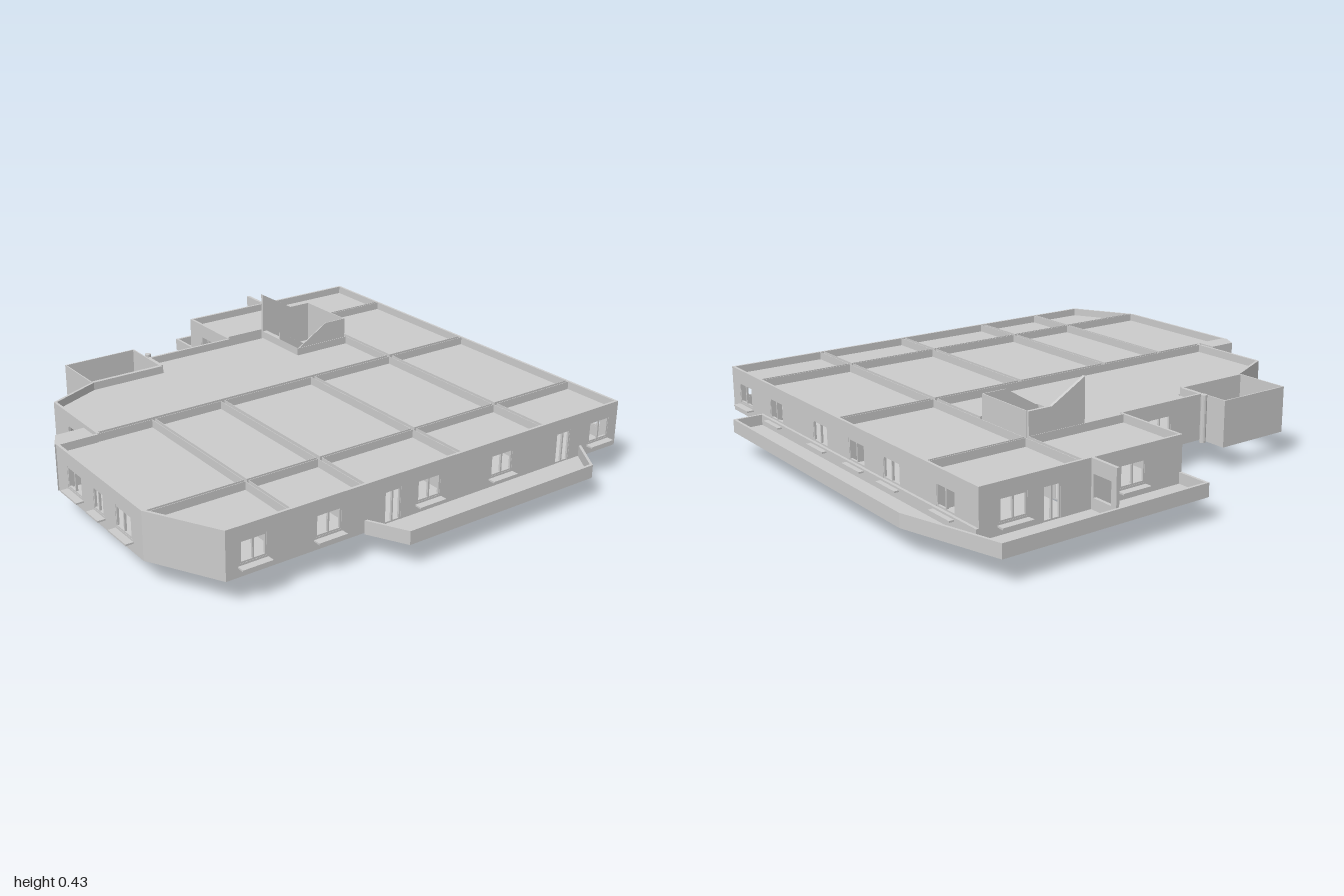
import * as THREE from 'three';
import { ConvexGeometry } from 'three/addons/geometries/ConvexGeometry.js';

const BASE = 0.095, TOP = 0.27, CEILING = 0.24, PARAPET = 0.14;
const mat = new THREE.MeshStandardMaterial({ color: 0xcccccc, flatShading: true, side: THREE.DoubleSide });

// Openings as [x, z, width, sill height]; doors reach the floor
const WINDOW = 0.14, DOOR = 0.1;
const windows = [
  ...[-0.675, -0.36, -0.135, 0.12, 0.46, 0.72].map(x => [x, -0.88, 0.105, WINDOW]),
  ...[[-0.785, 0.1], [-0.3, 0.1], [0.03, 0.1], [0.445, 0.1], [0.73, 0.1]].map(([z, w]) => [0.835, z, w, WINDOW]),
  ...[-0.6, 0.185].map(z => [0.835, z, 0.07, DOOR]),
  [0.12, 0.97, 0.105, WINDOW], [0.29, 0.97, 0.07, WINDOW], [0.46, 0.97, 0.105, WINDOW],
  [-0.19, 0.815, 0.105, WINDOW], [-0.71, -0.07, 0.105, WINDOW], [-0.55, 0.105, 0.105, WINDOW],
  [-0.85, -0.755, 0.105, WINDOW], [-0.85, -0.61, 0.07, DOOR], [-0.85, -0.285, 0.105, WINDOW],
];
const doors = [
  ...[-0.74, -0.17, 0.13, 0.77].map(x => [x, -0.492, 0.07, DOOR]),
  [0.28, 0.302, 0.07, DOOR],
  ...[-0.77, -0.37, 0.05, 0.37, 0.7].map(z => [0.59, z, 0.06, DOOR]),
  ...[-0.25, 0.17, 0.7].map(z => [-0.012, z, 0.07, DOOR]),
  [-0.42, -0.24, 0.24, DOOR],
];

// Exterior outline, going round so that each wall thickens inwards
const outline = [[-0.85, -0.88], [0.835, -0.88], [0.835, 0.83], [0.58, 0.97], [-0.01, 0.97], [-0.01, 0.815],
  [-0.35, 0.815], [-0.445, 0.61], [-0.445, 0.31], [-0.55, 0.31], [-0.55, -0.07], [-0.85, -0.07]];

const rect = (x0, x1, z0, z1) => [[x0, z0], [x1, z0], [x1, z1], [x0, z1]];
const rooms = [
  rect(-0.84, -0.57, -0.87, -0.5), rect(-0.56, -0.02, -0.87, -0.5),
  rect(-0.005, 0.583, -0.87, -0.5), rect(0.595, 0.825, -0.87, -0.5),
  rect(-0.84, -0.565, -0.485, -0.08),
  ...[[-0.485, -0.115], [-0.1, 0.295], [0.31, 0.587]].flatMap(([a, b]) =>
    [rect(-0.005, 0.585, a, b), rect(0.595, 0.825, a, b)]),
  rect(-0.005, 0.585, 0.598, 0.96),
  [[0.595, 0.598], [0.825, 0.598], [0.825, 0.825], [0.595, 0.953]],
  // hall, notched for the stairwell
  [[-0.29, -0.485], [-0.02, -0.485], [-0.02, 0.805], [-0.345, 0.805], [-0.435, 0.61], [-0.435, 0.3],
    [-0.54, 0.3], [-0.54, -0.24], [-0.29, -0.24]],
];

// Position of a point along segment a-b, and its distance from it
function project([x, z], a, b) {
  const dx = b[0] - a[0], dz = b[1] - a[1], len = Math.hypot(dx, dz);
  const along = ((x - a[0]) * dx + (z - a[1]) * dz) / len;
  const t = Math.min(len, Math.max(0, along));
  return { along, len, dist: Math.hypot(x - a[0] - dx * t / len, z - a[1] - dz * t / len) };
}

const edges = pts => pts.map((p, i) => [p, pts[(i + 1) % pts.length]]);
const shapeOf = pts => new THREE.Shape(pts.map(p => new THREE.Vector2(...p)));

function add(parent, name, geo, x = 0, y = 0, z = 0) {
  const mesh = new THREE.Mesh(geo, mat);
  mesh.name = name;
  mesh.position.set(x, y, z);
  parent.add(mesh);
  return mesh;
}
const box = (parent, name, w, h, d, x, y, z) => add(parent, name, new THREE.BoxGeometry(w, h, d), x, y, z);

// Horizontal slab whose top lies at height y
function slab(parent, name, pts, y, depth) {
  const geo = new THREE.ExtrudeGeometry(shapeOf(pts), { depth, bevelEnabled: false }).rotateX(Math.PI / 2);
  return add(parent, name, geo, 0, y, 0);
}

// Upright wall from a to b, cut by every opening lying on it
function wall(parent, name, a, b, { y0 = BASE, y1 = TOP, thick = 0.01, openings = [], fitted = false } = {}) {
  const group = new THREE.Group();
  const { len } = project(a, a, b);
  group.name = name;
  group.position.set(a[0], 0, a[1]);
  group.rotation.y = Math.atan2(a[1] - b[1], b[0] - a[0]);
  parent.add(group);
  const shape = shapeOf(rect(0, len, y0, y1));
  for (const [x, z, w, sill] of openings) {
    const p = project([x, z], a, b);
    const l = p.along - w / 2, r = p.along + w / 2, head = 0.22;
    if (p.dist > 0.025 || l < 0.002 || r > len - 0.002) continue;
    shape.holes.push(new THREE.Path(rect(l, r, sill, head).map(q => new THREE.Vector2(...q))));
    if (!fitted) continue;
    // frame, mullion and projecting sill
    for (const s of [l + 0.003, p.along, r - 0.003])
      box(group, 'windowPost', 0.006, head - sill, 0.008, s, (head + sill) / 2, thick / 2);
    for (const y of [sill + 0.003, head - 0.003])
      box(group, 'windowRail', w, 0.006, 0.008, p.along, y, thick / 2);
    if (sill === WINDOW) box(group, 'windowSill', w + 0.012, 0.006, 0.034, p.along, 0.13, -0.011);
  }
  add(group, name + 'Panel', new THREE.ExtrudeGeometry(shape, { depth: thick, bevelEnabled: false }));
  return group;
}

// Panel standing in the y-z plane, from [z, y] points
function sidePanel(parent, name, pts, x, thick) {
  const shape = shapeOf(pts.map(([z, y]) => [-z, y]));
  const geo = new THREE.ExtrudeGeometry(shape, { depth: thick, bevelEnabled: false }).rotateY(Math.PI / 2);
  return add(parent, name, geo, x, 0, 0);
}

function balcony(parent, name, pts) {
  const group = new THREE.Group();
  group.name = name;
  parent.add(group);
  slab(group, 'balconyFloor', pts, 0.1, 0.01);
  for (let i = 0; i < pts.length - 1; i++)
    wall(group, 'balconyParapet', pts[i], pts[i + 1], { y0: 0.09, y1: PARAPET });
  return group;
}

function stairs(parent) {
  const group = new THREE.Group();
  group.name = 'stairs';
  parent.add(group);
  const n = 8, run = 0.14 / n, rise = 0.0875 / n;
  for (let i = 0; i < n; i++) {
    box(group, 'lowerStep', 0.125, rise * 2, run, -0.355, BASE + i * rise, -0.24 - (i + 0.5) * run);
    box(group, 'upperStep', 0.115, rise * 2, run, -0.482, 0.1825 + i * rise, -0.38 + (i + 0.5) * run);
  }
  box(group, 'landing', 0.25, 0.012, 0.095, -0.415, 0.177, -0.428);
  box(group, 'stairBottom', 0.13, 0.02, 0.03, -0.355, 0.08, -0.255);
  box(group, 'stairBackWall', 0.25, 0.255, 0.004, -0.415, 0.2225, -0.475);
  sidePanel(group, 'stairHighWall',
    [[-0.24, BASE], [-0.24, 0.43], [-0.38, 0.35], [-0.475, 0.35], [-0.475, BASE]], -0.553, 0.012);
  sidePanel(group, 'stairLowWall',
    [[-0.24, BASE], [-0.24, 0.265], [-0.38, 0.35], [-0.475, 0.35], [-0.475, BASE]], -0.295, 0.004);
  sidePanel(group, 'stairSpine', [[-0.24, BASE], [-0.24, 0.3], [-0.39, 0.21], [-0.39, BASE]], -0.424, 0.006);
  sidePanel(group, 'descendingPanel', [[-0.24, BASE], [-0.38, 0], [-0.38, BASE]], -0.42, 0.002);
}

export function createModel() {
  const model = new THREE.Group();
  model.name = 'apartmentFloor';

  for (const [a, b] of edges(outline))
    wall(model, 'exteriorWall', a, b, { openings: windows, fitted: true });

  // Rooms: floor, ceiling and the partitions not backed by an exterior wall
  rooms.forEach(pts => {
    const room = new THREE.Group();
    room.name = 'room';
    model.add(room);
    slab(room, 'floor', pts, 0.1, 0.005);
    slab(room, 'ceiling', pts, CEILING, 0.003);
    for (const [a, b] of edges(pts)) {
      const mid = [(a[0] + b[0]) / 2, (a[1] + b[1]) / 2];
      const exterior = edges(outline).some(([p, q]) => project(mid, p, q).dist < 0.02);
      if (!exterior) wall(room, 'partition', a, b, { thick: 0.002, openings: doors });
    }
  });

  // Shallow dip under the larger wing
  add(model, 'underside', new ConvexGeometry([
    [0, 0.096, -0.87], [0, 0.096, 0.965], [0.58, 0.096, 0.965], [0.83, 0.096, 0.83], [0.83, 0.096, -0.87],
    [0.58, 0.077, 0.83], [0.58, 0.077, -0.7]].map(p => new THREE.Vector3(...p))));

  // Closed bay beside the front wall
  slab(model, 'frontBay', [[-0.08, 0.83], [-0.01, 0.83], [-0.01, 0.975], [-0.08, 0.94]], TOP, TOP - BASE);

  balcony(model, 'rightSideBalcony', [[0.835, -0.7], [0.975, -0.61], [0.975, 0.225], [0.835, 0.3]]);
  const wrap = balcony(model, 'wrapBalcony',
    [[-0.85, -0.07], [-0.98, -0.07], [-0.98, -0.89], [-0.6, -1], [0.58, -1], [0.58, -0.88], [-0.85, -0.88]]);

  // Gate frame across the balcony
  wall(wrap, 'balconyGate', [-0.97, -0.455], [-0.85, -0.455],
    { y0: 0.1, thick: 0.012, openings: [[-0.903, -0.455, 0.085, WINDOW]] });

  // Open shaft with a pipe next to it
  for (const [a, b] of edges(rect(-0.665, -0.445, 0.31, 0.615)))
    wall(model, 'shaftWall', a, b, { thick: 0.005 });
  add(model, 'pipe', new THREE.CylinderGeometry(0.012, 0.012, 0.18, 12), -0.575, 0.185, 0.295);

  stairs(model);
  return model;
}
